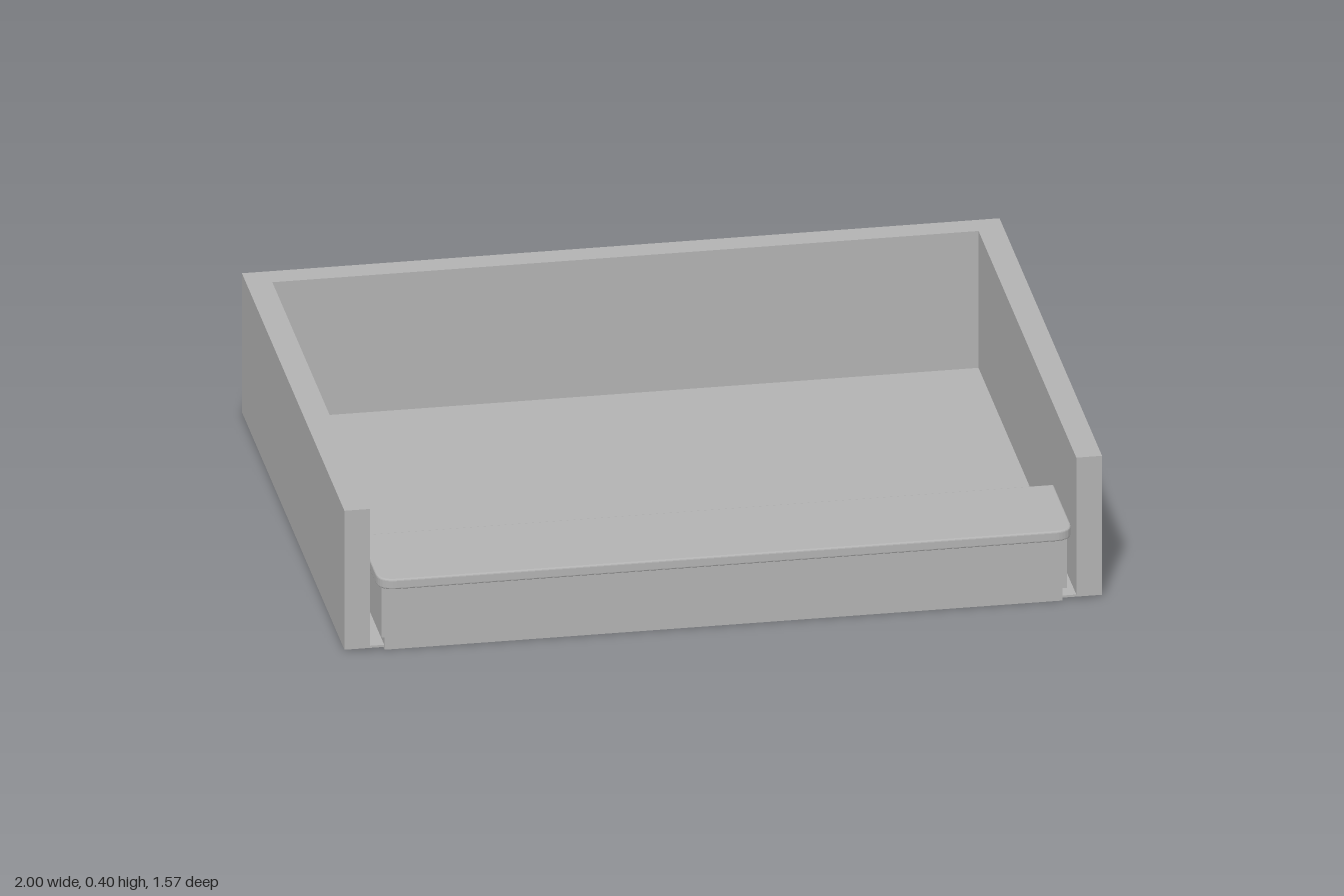
import * as THREE from 'three';

const grey = new THREE.MeshStandardMaterial({ color: 0xb2b2b2 });
grey.name = 'plain grey';

// Box given by its limits on each axis
function block(name, x0, x1, y0, y1, z0, z1) {
  const mesh = new THREE.Mesh(new THREE.BoxGeometry(x1 - x0, y1 - y0, z1 - z0), grey);
  mesh.position.set((x0 + x1) / 2, (y0 + y1) / 2, (z0 + z1) / 2);
  mesh.name = name;
  return mesh;
}

// Floor plan (x, z) raised from y0 to y1, optionally with softened edges
function slab(name, shape, y0, y1, bevel = 0) {
  const geometry = new THREE.ExtrudeGeometry(shape, {
    depth: y1 - y0 - 2 * bevel, curveSegments: 8,
    bevelEnabled: bevel > 0, bevelSize: bevel, bevelThickness: bevel,
    bevelOffset: -bevel, bevelSegments: 3,
  });
  geometry.rotateX(Math.PI / 2);
  const mesh = new THREE.Mesh(geometry, grey);
  mesh.position.y = y1 - bevel;
  mesh.name = name;
  return mesh;
}

// Plan of the counter base: two pedestals joined by a front section
function basePlan(halfWidth, front) {
  const back = 0.49, niche = 0.585, knee = 0.47;
  return new THREE.Shape([
    [-halfWidth, back], [-knee, back], [-knee, niche], [knee, niche],
    [knee, back], [halfWidth, back], [halfWidth, front], [-halfWidth, front],
  ].map(([x, z]) => new THREE.Vector2(x, z)));
}

// Plan of the counter top with rounded front corners
function topPlan() {
  const w = 0.917, back = 0.488, front = 0.785, r = 0.05;
  const s = new THREE.Shape();
  s.moveTo(-w, back);
  s.lineTo(w, back);
  s.lineTo(w, front - r);
  s.quadraticCurveTo(w, front, w - r, front);
  s.lineTo(-w + r, front);
  s.quadraticCurveTo(-w, front, -w, front - r);
  s.closePath();
  return s;
}

export function createModel() {
  const model = new THREE.Group();
  model.name = 'walledCounter';

  // Open-fronted enclosure
  const bottom = 0.006, top = 0.402, back = -0.787, front = 0.742, inner = 0.932;
  const room = new THREE.Group();
  room.name = 'enclosure';
  room.add(
    block('floor', -inner, inner, bottom, 0.012, back + 0.07, front),
    block('backWall', -1, 1, bottom, top, back, back + 0.07),
    block('leftWall', inner, 1, bottom, top, back + 0.07, front),
    block('rightWall', -1, -inner, bottom, top, back + 0.07, front),
  );

  // Counter across the open front
  const counter = new THREE.Group();
  counter.name = 'counter';
  counter.add(
    slab('plinth', basePlan(0.895, 0.747), 0, 0.04),
    slab('counterBody', basePlan(0.905, 0.757), 0.04, 0.186),
    slab('counterTop', topPlan(), 0.186, 0.215, 0.005),
  );

  model.add(room, counter);
  return model;
}
